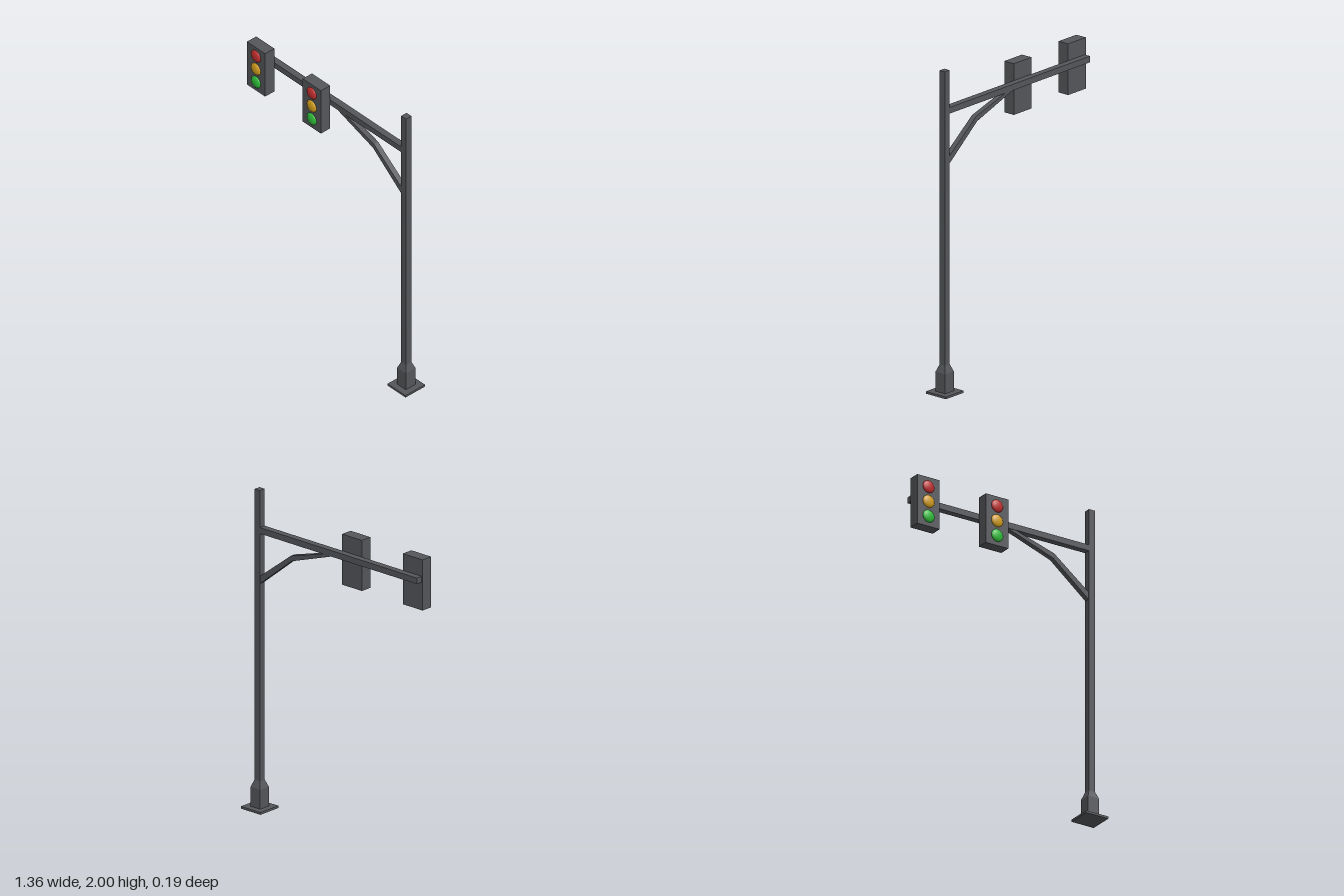
import * as THREE from 'three';

const metal = new THREE.MeshStandardMaterial({ color: 0x55565a, flatShading: true });
const POLE_X = 0.598, POLE_Z = -0.02;

function add(parent, name, geometry, material, x, y, z) {
  const mesh = new THREE.Mesh(geometry, material);
  mesh.name = name;
  mesh.position.set(x, y, z);
  parent.add(mesh);
  return mesh;
}

// Four-sided tapered block, sized by the half widths of its top and bottom
function squareFrustum(top, bottom, height) {
  return new THREE.CylinderGeometry(top * Math.SQRT2, bottom * Math.SQRT2, height, 4).rotateY(Math.PI / 4);
}

// Housing with three domed lenses facing +z
function createSignal(x) {
  const signal = new THREE.Group();
  signal.name = 'signalHead';
  signal.position.set(x, 1.715, 0);
  add(signal, 'housing', new THREE.BoxGeometry(0.158, 0.317, 0.074), metal, 0, 0, 0.037);
  const dome = new THREE.SphereGeometry(0.04, 24, 8, 0, Math.PI * 2, 0, Math.PI / 2).rotateX(Math.PI / 2);
  const lenses = [['redLens', 0xc43030], ['amberLens', 0xd6a01e], ['greenLens', 0x2fbf3a]];
  lenses.forEach(([name, color], i) => {
    const lens = add(signal, name, dome, new THREE.MeshStandardMaterial({ color }), 0, 0.096 - i * 0.095, 0.074);
    lens.scale.z = 0.4;
  });
  return signal;
}

export function createModel() {
  const model = new THREE.Group();
  model.name = 'trafficLight';

  // Foot and upright
  add(model, 'basePlate', new THREE.BoxGeometry(0.156, 0.014, 0.156), metal, POLE_X, 0.007, POLE_Z);
  add(model, 'socket', new THREE.BoxGeometry(0.076, 0.121, 0.076), metal, POLE_X, 0.0745, POLE_Z);
  add(model, 'socketTaper', squareFrustum(0.021, 0.038, 0.045), metal, POLE_X, 0.1575, POLE_Z);
  add(model, 'pole', new THREE.BoxGeometry(0.042, 1.86, 0.042), metal, POLE_X, 1.07, POLE_Z);

  // Horizontal arm
  add(model, 'arm', new THREE.BoxGeometry(1.265, 0.038, 0.042), metal, -0.04, 1.75, POLE_Z);

  // Bent brace between the pole and the arm
  const braceShape = new THREE.Shape([
    [-0.01, 1.737], [0.328, 1.62], [0.59, 1.407], [0.59, 1.455], [0.335, 1.652], [0.0, 1.752],
  ].map(([x, y]) => new THREE.Vector2(x, y)));
  const brace = new THREE.ExtrudeGeometry(braceShape, { depth: 0.034, bevelEnabled: false });
  add(model, 'brace', brace, metal, 0, 0, POLE_Z - 0.017);

  // Two signal heads on the front of the arm
  for (const x of [-0.602, -0.119]) model.add(createSignal(x));

  return model;
}
